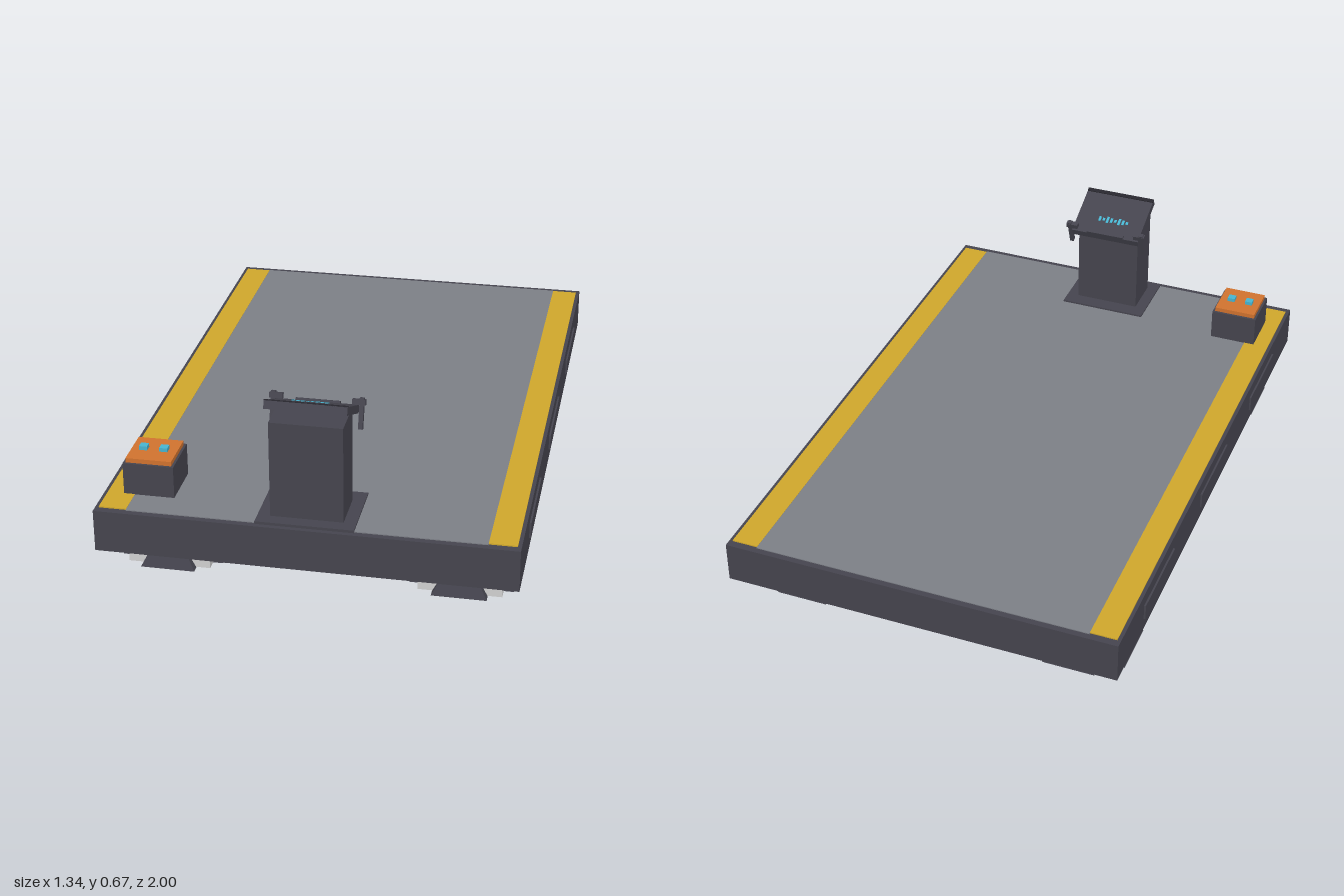
import * as THREE from 'three';

const mat = (name, color) => {
  const m = new THREE.MeshStandardMaterial({ color });
  m.name = name;
  return m;
};

export function createModel() {
  const dark = mat('dark steel', 0x45444e);
  const black = mat('black trim', 0x27262d);
  const grey = mat('deck grey', 0x7c7f86);
  const yellow = mat('safety yellow', 0xcfa72b);
  const silver = mat('silver', 0xd0d0d0);
  const cyan = mat('glowing cyan', 0x47b4d0);
  const orange = mat('orange', 0xd0722e);

  const model = new THREE.Group();
  model.name = 'hoverPlatform';

  const add = (name, geometry, material, parent = model) => {
    const mesh = new THREE.Mesh(geometry, material);
    mesh.name = name;
    parent.add(mesh);
    return mesh;
  };
  // Box given by its extents along each axis
  const block = (name, material, [x0, x1], [y0, y1], [z0, z1], parent) => {
    const g = new THREE.BoxGeometry(x1 - x0, y1 - y0, z1 - z0);
    g.translate((x0 + x1) / 2, (y0 + y1) / 2, (z0 + z1) / 2);
    return add(name, g, material, parent);
  };

  // Platform, walking surface and keel
  block('platform', dark, [-0.665, 0.665], [0.13, 0.27], [-1, 1]);
  block('deckPlate', grey, [-0.565, 0.565], [0.268, 0.273], [-0.98, 0.98]);
  block('keel', dark, [-0.08, 0.08], [0.08, 0.131], [-0.73, 0.73]);

  // Warning strips and side panels
  for (const s of [-1, 1]) {
    const span = (a, b) => (s > 0 ? [a, b] : [-b, -a]);
    block('warningStrip', yellow, span(0.565, 0.653), [0.268, 0.274], [-0.975, 0.975]);
    for (const z of [-0.6, 0, 0.6])
      block('sidePanel', dark, span(0.66, 0.671), [0.173, 0.227], [z - 0.15, z + 0.15]);
  }

  // Sloped fin whose back lies on z = 0 and whose foot juts out along +z
  const finGeometry = (topWidth, bottomWidth, height, depth) => {
    const g = new THREE.BoxGeometry(1, height, 1).toNonIndexed();
    const p = g.attributes.position;
    for (let i = 0; i < p.count; i++) {
      const top = p.getY(i) > 0;
      p.setX(i, p.getX(i) * (top ? topWidth : bottomWidth));
      p.setZ(i, p.getZ(i) < 0 ? -0.01 : top ? 0.001 : depth);
    }
    g.translate(0, height / 2, 0);
    g.computeVertexNormals();
    return g;
  };

  // Lift pads at the four corners, with fins on the outer end and both sides
  for (const sx of [-1, 1]) for (const sz of [-1, 1]) {
    const pad = new THREE.Group();
    pad.name = 'liftPad';
    pad.position.set(sx * 0.467, 0, sz * 0.73);
    model.add(pad);
    const housing = new THREE.BoxGeometry(0.266, 0.112, 0.27);
    housing.translate(0, 0.076, 0);
    add('padHousing', housing, [silver, silver, silver, dark, silver, silver], pad);
    const end = add('endFin', finGeometry(0.085, 0.175, 0.087, 0.027), dark, pad);
    end.position.set(0, 0.018, sz * 0.135);
    end.rotation.y = sz > 0 ? 0 : Math.PI;
    for (const s of [-1, 1]) {
      const side = add('sideFin', finGeometry(0.006, 0.19, 0.112, 0.032), dark, pad);
      side.position.set(s * 0.133, 0.018, 0);
      side.rotation.y = s * Math.PI / 2;
    }
    const disc = new THREE.CylinderGeometry(0.117, 0.117, 0.02, 12);
    disc.translate(0, 0.01, 0);
    add('glowDisc', disc, cyan, pad);
  }

  // Control podium
  const podium = new THREE.Group();
  podium.name = 'podium';
  model.add(podium);
  block('podiumBase', dark, [-0.155, 0.155], [0.265, 0.279], [0.745, 0.985], podium);
  block('podiumColumn', dark, [-0.115, 0.115], [0.275, 0.6], [0.798, 0.943], podium);

  // Tilted console, sloping down toward the operator
  const head = new THREE.Group();
  head.name = 'console';
  head.position.set(0, 0.618, 0.85);
  head.rotation.x = -0.42;
  podium.add(head);
  block('consolePanel', dark, [-0.128, 0.128], [-0.013, 0.013], [-0.1, 0.1], head);
  block('consoleTrim', black, [-0.128, 0.128], [0.012, 0.016], [0.086, 0.1], head);
  block('consoleLedge', dark, [-0.07, 0.07], [0.012, 0.02], [-0.1, -0.085], head);
  // Small lit marks on the screen
  for (let i = 0; i < 8; i++) {
    const x = -0.068 + i * 0.015;
    const h = 0.006 + (i % 3) * 0.004;
    block('screenMark', cyan, [x, x + 0.009], [0.012, 0.015], [-0.028 - h, -0.028 + h], head);
  }

  // Grab handles either side of the console
  for (const s of [-1, 1]) {
    const handle = new THREE.Group();
    handle.name = 'handle';
    handle.position.set(s * 0.139, 0.572, 0.775);
    handle.rotation.x = -0.33;
    podium.add(handle);
    block('handleGrip', dark, [-0.007, 0.007], [-0.05, 0.048], [-0.008, 0.008], handle);
    const arm = s > 0 ? [-0.03, 0.012] : [-0.012, 0.03];
    block('handleArm', dark, arm, [0.025, 0.043], [-0.009, 0.009], handle);
  }

  // Switch box with two buttons
  const box = new THREE.Group();
  box.name = 'switchBox';
  model.add(box);
  block('switchBody', dark, [-0.6, -0.437], [0.265, 0.38], [0.717, 0.88], box);
  block('switchPlate', orange, [-0.592, -0.445], [0.379, 0.395], [0.726, 0.872], box);
  for (const x of [-0.553, -0.487])
    block('button', cyan, [x - 0.013, x + 0.013], [0.394, 0.408], [0.785, 0.811], box);

  return model;
}
